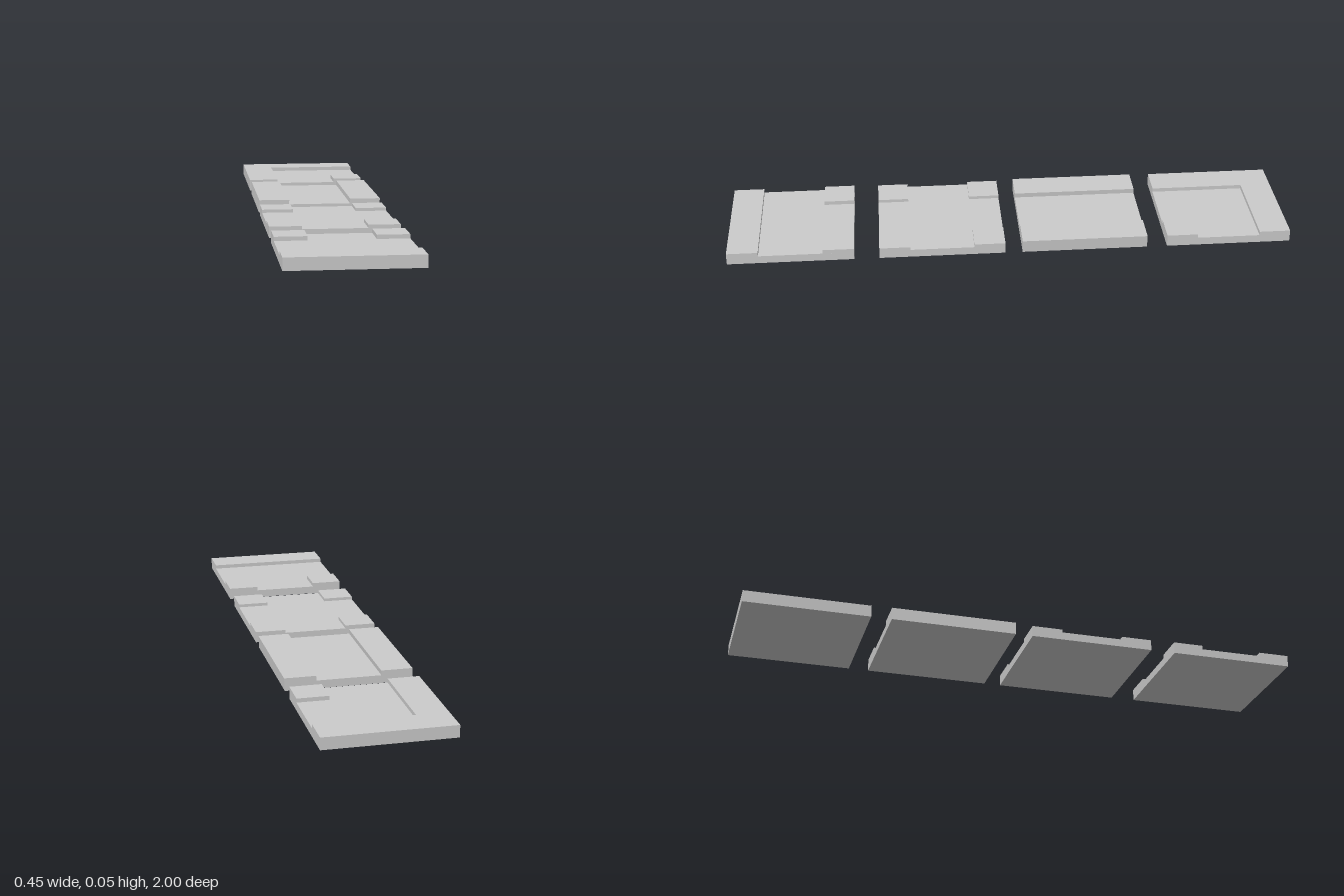
import * as THREE from 'three';

const X0 = -0.225, X1 = 0.221; // tile sides
const CURB = 0.11; // kerb width
const FLOOR = 0.028;

export function createModel() {
  const group = new THREE.Group();
  const material = new THREE.MeshStandardMaterial({ color: 0xcccccc, flatShading: true });

  // Flat slab with an outline of [x, z] points, between two heights
  function slab(parent, name, outline, y0, y1, lean = 0) {
    const shape = new THREE.Shape(outline.map(([x, z]) => new THREE.Vector2(x, -z)));
    const geo = new THREE.ExtrudeGeometry(shape, { depth: y1 - y0, bevelEnabled: false });
    geo.rotateX(-Math.PI / 2).translate(0, y0, 0);
    // sideways lean, growing with height
    const p = geo.attributes.position;
    for (let i = 0; i < p.count; i++) p.setX(i, p.getX(i) + lean * p.getY(i));
    geo.computeVertexNormals();
    const mesh = new THREE.Mesh(geo, material);
    mesh.name = name;
    parent.add(mesh);
  }
  const rect = (xa, xb, za, zb) => [[xa, za], [xb, za], [xb, zb], [xa, zb]];

  // One road tile: a base with raised kerbs
  function tile(name, z0, z1, top, kerbs, lean = 0) {
    const g = new THREE.Group();
    g.name = name;
    slab(g, 'base', rect(X0, X1, z0, z1), 0, FLOOR, lean);
    kerbs.forEach(([part, outline]) => slab(g, part, outline, FLOOR, top, lean));
    group.add(g);
  }
  // Square kerb in a corner of a tile
  const corner = (left, back, z0, z1) => ['cornerKerb', rect(
    left ? X1 - CURB : X0, left ? X1 : X0 + CURB,
    back ? z0 : z1 - CURB, back ? z0 + CURB : z1)];

  // Bend: L-shaped kerb and the inner corner
  let a = -1, b = -0.557;
  tile('bendTile', a, b, 0.042, [
    ['outerKerb', [[X0, a], [X1, a], [X1, a + CURB], [X0 + CURB, a + CURB], [X0 + CURB, b], [X0, b]]],
    corner(true, false, a, b),
  ]);

  // Straight: kerb on both sides
  a = -0.485; b = -0.04;
  tile('straightTile', a, b, 0.045, [
    ['sideKerb', rect(X0, X0 + CURB, a, b)],
    ['sideKerb', rect(X1 - CURB, X1, a, b)],
  ], 0.05);

  // Crossing: four corners
  a = 0.021; b = 0.466;
  tile('crossingTile', a, b, 0.039, [
    corner(false, true, a, b), corner(true, true, a, b),
    corner(false, false, a, b), corner(true, false, a, b),
  ]);

  // Junction: one full kerb at the front, two corners at the back
  a = 0.555; b = 1;
  tile('junctionTile', a, b, 0.042, [
    ['frontKerb', rect(X0, X1, b - CURB, b)],
    corner(false, true, a, b), corner(true, true, a, b),
  ]);

  return group;
}
